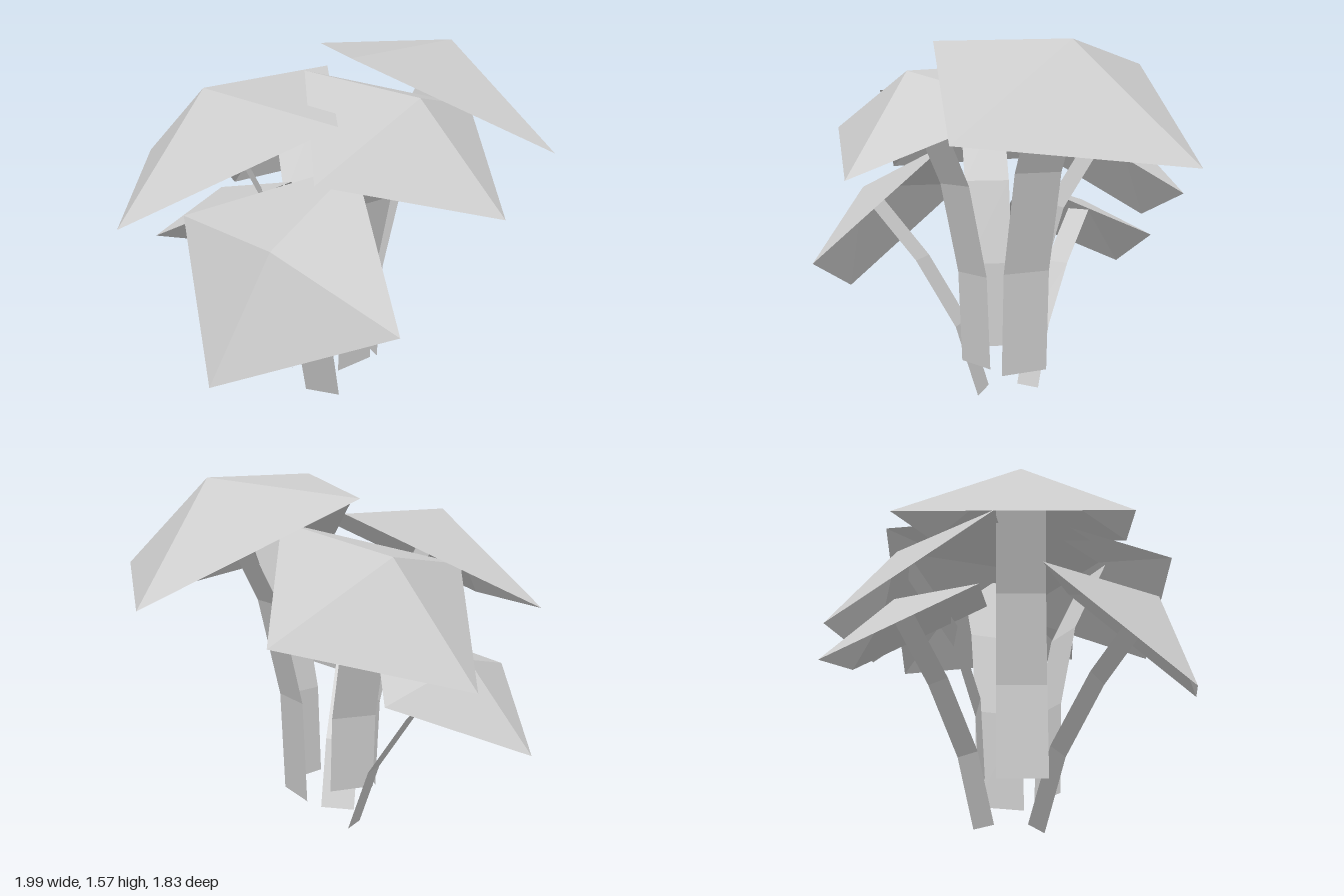
import * as THREE from 'three';

const material = new THREE.MeshStandardMaterial({
  color: 0xcccccc, flatShading: true, side: THREE.DoubleSide,
});
const V = (a) => new THREE.Vector3(...a);

// Facetted mesh from a flat list of triangle corners
function mesh(name, points) {
  const geometry = new THREE.BufferGeometry().setFromPoints(points);
  geometry.computeVertexNormals();
  const m = new THREE.Mesh(geometry, material);
  m.name = name;
  return m;
}

// Leaf: a parallelogram pulled up at its centre into an open four-sided tent
function leaf(corners, peak) {
  const points = [];
  corners.forEach((c, i) => points.push(peak, c, corners[(i + 1) % 4]));
  return mesh('leaf', points);
}

// Stalk: a flat strip in three lengths, bending outwards towards the leaf
function stalk(base, tip, width, bends) {
  const side = new THREE.Vector3(tip.z - base.z, 0, base.x - tip.x).setLength(width / 2);
  const rows = [[0, 0], ...bends, [1, 1]].map(([out, up]) => {
    const p = base.clone().lerp(tip, out);
    p.y = THREE.MathUtils.lerp(base.y, tip.y, up);
    return [p.clone().sub(side), p.clone().add(side)];
  });
  const points = [];
  for (let i = 0; i < 3; i++) {
    const [a, b] = rows[i], [c, d] = rows[i + 1];
    points.push(a, c, b, b, c, d);
  }
  return mesh('stalk', points);
}

const CURVED = [[0.06, 0.34], [0.36, 0.67]];
const LEANING = [[0.2, 0.36], [0.56, 0.7]];

// Each frond: one leaf corner and its two neighbours, the peak, and the stalk
const FRONDS = [
  { name: 'leftFrond', o: [0.49, 1.17, 0.79], p: [0.99, 1.08, 0.03], q: [-0.18, 1.565, 0.31],
    peak: [0.51, 1.55, 0.2], base: [0.14, 0.145, 0.085], width: 0.217, bends: CURVED },
  { name: 'rightFrond', o: [-1, 0.97, -0.08], p: [-0.37, 1.36, 0.45], q: [-0.43, 1.02, -0.79],
    peak: [-0.49, 1.41, -0.23], base: [-0.215, 0.165, -0.045], width: 0.21, bends: CURVED },
  { name: 'frontFrond', o: [0.04, 1.03, 0.91], p: [0.45, 1.3, 0.37], q: [-0.56, 1.2, 0.54],
    peak: [-0.05, 1.435, 0.55], base: [-0.045, 0.165, 0.2], width: 0.19, bends: CURVED },
  { name: 'lowRightFrond', o: [-0.87, 0.41, 0.29], p: [-0.38, 0.65, 0.8], q: [-0.62, 0.895, -0.225],
    peak: [-0.63, 0.92, 0.37], base: [-0.13, 0, 0.08], width: 0.16, bends: LEANING },
  { name: 'backFrond', o: [0.06, 0.75, -0.82], p: [-0.47, 1.17, -0.35], q: [0.67, 0.94, -0.31],
    peak: [0.15, 1.25, -0.47], base: [-0.02, 0.175, -0.11], width: 0.205, bends: CURVED },
  { name: 'lowBackFrond', o: [-0.18, 0.47, -0.92], p: [-0.6, 0.72, -0.5], q: [0.31, 0.7, -0.57],
    peak: [-0.16, 0.82, -0.62], base: [-0.035, 0, -0.11], width: 0.113, bends: LEANING },
];

export function createModel() {
  const plant = new THREE.Group();
  plant.name = 'plant';
  for (const f of FRONDS) {
    const o = V(f.o), p = V(f.p), q = V(f.q), peak = V(f.peak);
    const opposite = p.clone().add(q).sub(o);
    // The stalk ends under the tent, a little below its peak
    const tip = p.clone().lerp(q, 0.5).lerp(peak, 0.6);
    const frond = new THREE.Group();
    frond.name = f.name;
    frond.add(leaf([o, p, opposite, q], peak), stalk(V(f.base), tip, f.width, f.bends));
    plant.add(frond);
  }
  return plant;
}
